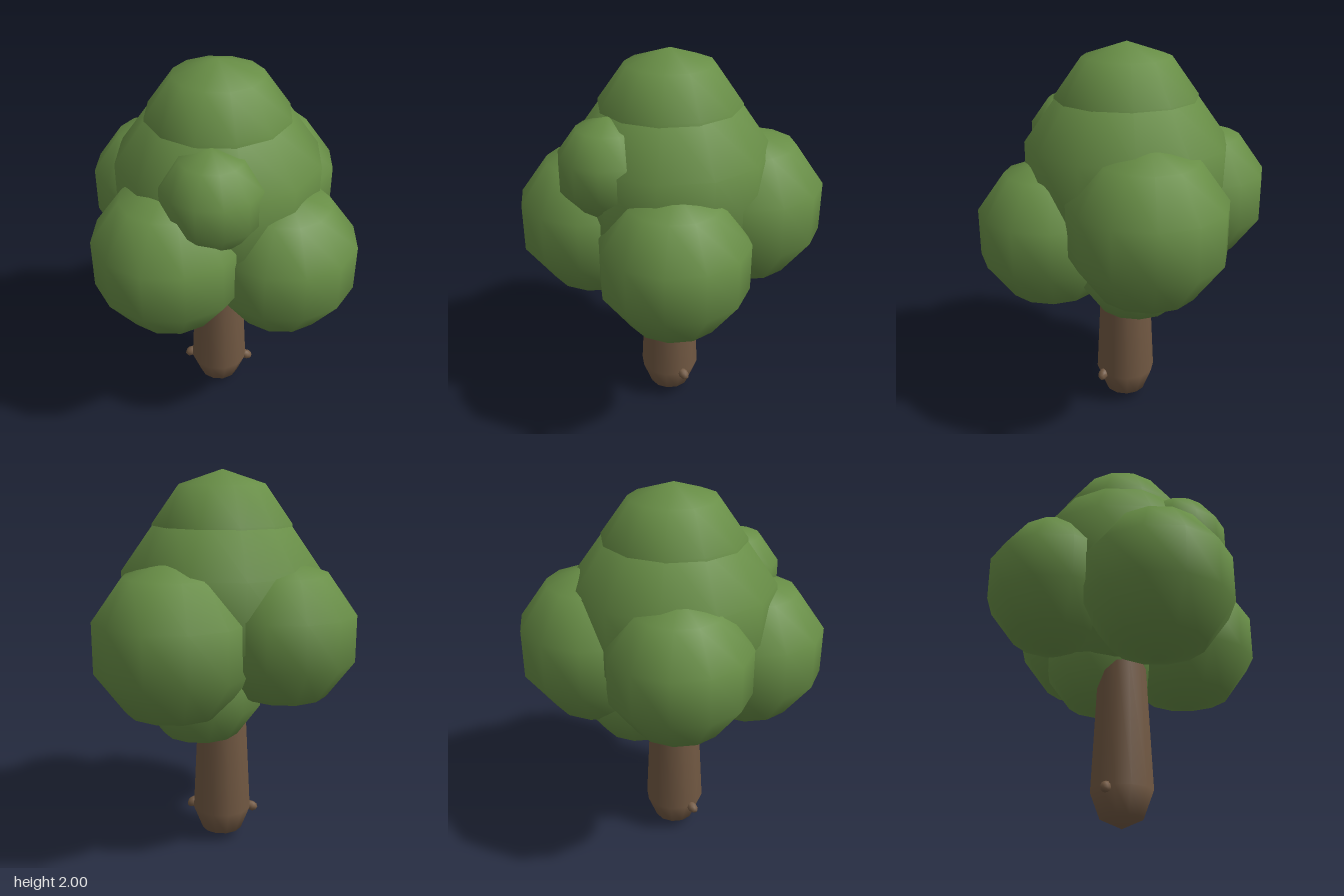
import * as THREE from 'three';

const leafGreen = new THREE.MeshStandardMaterial({ color: 0x688e46 });
leafGreen.name = 'leafGreen';
const barkBrown = new THREE.MeshStandardMaterial({ color: 0x725943 });
barkBrown.name = 'barkBrown';

function addMesh(group, name, geometry, material, x, y, z) {
  const mesh = new THREE.Mesh(geometry, material);
  mesh.name = name;
  mesh.position.set(x, y, z);
  group.add(mesh);
  return mesh;
}

export function createModel() {
  const tree = new THREE.Group();
  tree.name = 'tree';

  // Trunk: tapered, with a rounded foot
  const profile = [[0, 0], [0.11, 0.05], [0.16, 0.18], [0.126, 0.85], [0.11, 1.1], [0, 1.2]]
    .map(([r, y]) => new THREE.Vector2(r, y));
  addMesh(tree, 'trunk', new THREE.LatheGeometry(profile, 12), barkBrown, -0.006, 0, -0.012);

  // Small knots on either side of the trunk, drooping outwards
  const knots = [
    ['leftKnot', 0.143, 0.178, 0.055, -0.6],
    ['rightKnot', -0.165, 0.17, -0.055, 0.5],
  ];
  for (const [name, x, y, z, tilt] of knots) {
    const knot = addMesh(tree, name, new THREE.SphereGeometry(1, 8, 5), barkBrown, x, y, z);
    knot.scale.set(0.038, 0.027, 0.027);
    knot.rotation.z = tilt;
  }

  // Foliage: overlapping low-poly puffs [name, radius, x, y, z]
  const puffs = [
    ['crownTop', 0.38, -0.007, 1.62, -0.017],
    ['crownMiddle', 0.545, -0.005, 1.34, -0.02],
    ['frontLeftPuff', 0.39, 0.25, 1.055, 0.289],
    ['frontRightPuff', 0.4, -0.308, 1.125, 0.237],
    ['backLeftPuff', 0.412, 0.295, 1.18, -0.273],
    ['backRightPuff', 0.374, -0.252, 1.21, -0.307],
    ['lowerPuff', 0.33, 0.135, 0.945, -0.14],
    ['smallFrontPuff', 0.26, -0.118, 1.465, 0.325],
  ];
  const foliage = new THREE.Group();
  foliage.name = 'foliage';
  for (const [name, r, x, y, z] of puffs) {
    addMesh(foliage, name, new THREE.SphereGeometry(r, 12, 5), leafGreen, x, y, z);
  }
  tree.add(foliage);
  return tree;
}
